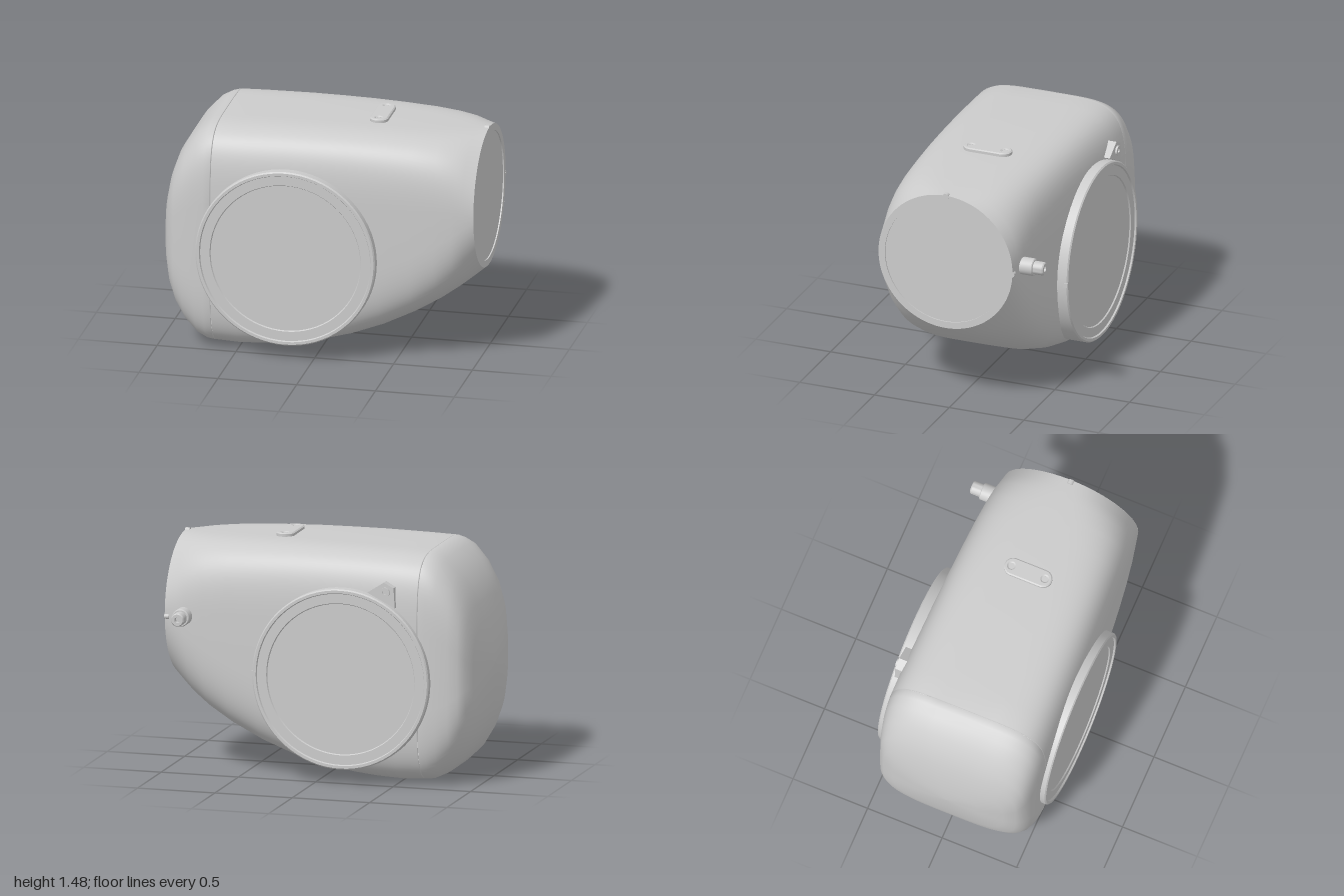
import * as THREE from 'three';
import { toCreasedNormals } from 'three/addons/utils/BufferGeometryUtils.js';

const material = new THREE.MeshStandardMaterial({ color: 0xcccccc, side: THREE.DoubleSide });
const MID_Z = 0.025; // the body's own centre line

function add(parent, name, geometry, x = 0, y = 0, z = 0) {
  const mesh = new THREE.Mesh(geometry, material);
  mesh.name = name;
  mesh.position.set(x, y, z);
  parent.add(mesh);
  return mesh;
}

// Skin over superellipse sections: [x, bottom, top, half width, squareness]
function loft(sections, sides = 88) {
  const positions = [], index = [];
  const power = (v, n) => Math.sign(v) * Math.pow(Math.abs(v), 2 / n);
  sections.forEach(([x, bottom, top, half, n], i) => {
    for (let j = 0; j < sides; j++) {
      const a = (j / sides) * Math.PI * 2;
      positions.push(x,
        (top + bottom) / 2 + (top - bottom) / 2 * power(Math.sin(a), n),
        MID_Z + half * power(Math.cos(a), n));
      if (i === sections.length - 1) continue;
      const p = i * sides + j, q = i * sides + (j + 1) % sides;
      index.push(p, p + sides, q, q, p + sides, q + sides);
    }
  });
  const geometry = new THREE.BufferGeometry();
  geometry.setAttribute('position', new THREE.Float32BufferAttribute(positions, 3));
  geometry.setIndex(index);
  geometry.computeVertexNormals();
  return geometry;
}

// Turned part around y, profile given as [radius, height] pairs
function turned(profile, sides = 72) {
  const points = profile.map(([r, h]) => new THREE.Vector2(r, h));
  return toCreasedNormals(new THREE.LatheGeometry(points, sides), 0.5);
}

export function createModel() {
  const model = new THREE.Group();
  model.name = 'housing';

  // Domed end cap, meeting the shell in a fine seam
  add(model, 'endCap', loft([
    [-1, 0.72, 0.72, 0, 2.6],
    [-0.995, 0.59, 0.86, 0.22, 2.8],
    [-0.97, 0.42, 1.0, 0.37, 3.2],
    [-0.94, 0.31, 1.12, 0.445, 3.6],
    [-0.9, 0.215, 1.225, 0.483, 4],
    [-0.84, 0.12, 1.325, 0.505, 4.4],
    [-0.76, 0.045, 1.41, 0.52, 4.8],
    [-0.7, 0.018, 1.44, 0.525, 5],
    [-0.657, 0.012, 1.452, 0.527, 5],
    [-0.655, 0.022, 1.442, 0.517, 5],
  ]));

  // Main shell, tapering from a rounded box to a round mouth
  add(model, 'shell', loft([
    [-0.652, 0.022, 1.442, 0.517, 5],
    [-0.65, 0.012, 1.452, 0.527, 5],
    [-0.5, 0.005, 1.457, 0.527, 5],
    [-0.35, 0.012, 1.46, 0.524, 5],
    [-0.2, 0.027, 1.463, 0.52, 5],
    [0, 0.06, 1.464, 0.515, 4.9],
    [0.2, 0.112, 1.464, 0.508, 4.7],
    [0.4, 0.185, 1.461, 0.5, 4.4],
    [0.6, 0.28, 1.456, 0.49, 4],
    [0.75, 0.365, 1.45, 0.48, 3.5],
    [0.86, 0.437, 1.445, 0.47, 2.9],
    [0.93, 0.487, 1.44, 0.46, 2.4],
    [1, 0.54, 1.435, 0.448, 2],
  ]));

  // Round mouth: flat rim and slightly sunk panel
  const mouth = turned([[0.448, 0], [0.405, 0], [0.405, -0.008], [0, -0.008]], 88);
  mouth.rotateZ(-Math.PI / 2);
  add(model, 'mouthPanel', mouth, 1, 0.988, MID_Z);
  [[1.428, MID_Z, 0.02], [0.975, -0.42, 0.016]].forEach(([y, z, r]) => {
    const pin = new THREE.CylinderGeometry(r, r, 0.03, 16);
    pin.rotateZ(Math.PI / 2);
    add(model, 'rimPin', pin, 0.986, y, z);
  });

  // Round covers on both sides
  [['frontCover', 1, 0.585], ['backCover', -1, -0.545]].forEach(([name, side, z]) => {
    const cover = turned([
      [0.57, -0.25], [0.57, -0.008], [0.562, 0], [0.545, 0], [0.54, -0.01],
      [0.48, -0.01], [0.475, -0.018], [0, -0.018],
    ]);
    cover.rotateX(side * Math.PI / 2);
    add(model, name, cover, -0.17, 0.67, z);
  });
  add(model, 'coverNotch', new THREE.BoxGeometry(0.03, 0.03, 0.03), 0.39, 0.675, -0.531);

  // Stepped port on the back
  const port = turned([
    [0.055, 0], [0.055, 0.115], [0.05, 0.12], [0.042, 0.12],
    [0.042, 0.18], [0.036, 0.188], [0.018, 0.188], [0.018, 0.15], [0, 0.15],
  ], 28);
  port.rotateX(-Math.PI / 2);
  add(model, 'port', port, 0.87, 0.99, -0.4);

  // Slotted plate with two screw holes on top
  const outline = new THREE.Shape();
  outline.absarc(0, 0.1, 0.05, 0, Math.PI);
  outline.absarc(0, -0.1, 0.05, Math.PI, Math.PI * 2);
  outline.closePath();
  [-0.112, 0.112].forEach((y) => {
    const hole = new THREE.Path();
    hole.absarc(0, y, 0.028, 0, Math.PI * 2, true);
    outline.holes.push(hole);
    const screw = new THREE.CylinderGeometry(0.027, 0.027, 0.03, 20);
    add(model, 'plateScrew', screw, 0.322, 1.462, 0.02 + y);
  });
  const plate = new THREE.ExtrudeGeometry(outline, {
    depth: 0.03, bevelThickness: 0.006, bevelSize: 0.008, bevelSegments: 1, curveSegments: 16,
  });
  plate.rotateX(-Math.PI / 2);
  add(model, 'topPlate', plate, 0.322, 1.448, 0.02);

  // Three-cornered lug with a screw above the back cover
  const lug = new THREE.Group();
  lug.name = 'coverLug';
  const tab = new THREE.Shape([[-0.1, -0.06], [0.1, -0.06], [0.035, 0.05], [-0.035, 0.05]]
    .map(([x, y]) => new THREE.Vector2(x, y)));
  add(lug, 'lugPlate', new THREE.ExtrudeGeometry(tab, { depth: 0.1, bevelEnabled: false }));
  const head = turned([[0.03, 0], [0.03, 0.012], [0.014, 0.012], [0.014, 0.004], [0, 0.004]], 20);
  head.rotateX(-Math.PI / 2);
  add(lug, 'lugScrew', head);
  lug.position.set(-0.455, 1.235, -0.522);
  lug.rotation.z = 0.47;
  model.add(lug);

  return model;
}
